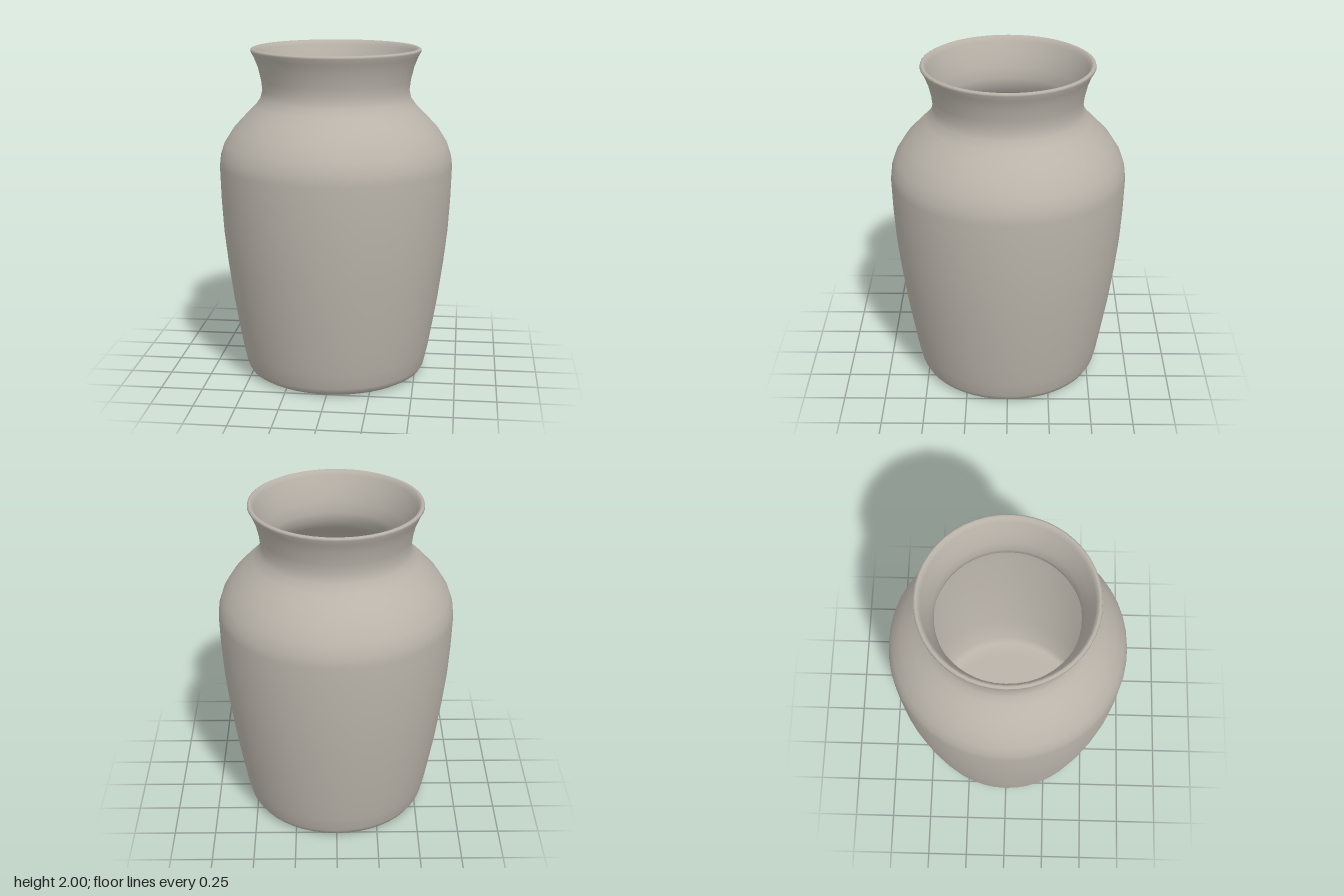
import * as THREE from 'three';

// Smooth surface of revolution from [radius, height] pairs
function turned(name, profile, material) {
  const points = profile.map(([r, y]) => new THREE.Vector2(r, y));
  const mesh = new THREE.Mesh(new THREE.LatheGeometry(points, 48), material);
  mesh.name = name;
  return mesh;
}

export function createModel() {
  const clay = new THREE.MeshStandardMaterial({ color: 0xbab4aa });
  clay.name = 'warm grey clay';

  const vase = new THREE.Group();
  vase.name = 'vase';

  // One closed profile: recessed foot, outer wall, rolled rim, inner wall, floor
  vase.add(turned('vaseBody', [
    [0, 0.035], [0.29, 0.035], [0.33, 0.025], [0.4, 0.007], [0.46, 0.001],
    [0.505, 0.004], [0.535, 0.022], [0.553, 0.055],
    [0.575, 0.15], [0.6, 0.29], [0.632, 0.48], [0.662, 0.7], [0.684, 0.9],
    [0.696, 1.1], [0.702, 1.3],
    [0.695, 1.36], [0.672, 1.43], [0.615, 1.52], [0.545, 1.595],
    [0.485, 1.655], [0.452, 1.7], [0.44, 1.75], [0.447, 1.81],
    [0.466, 1.89], [0.49, 1.95], [0.508, 1.982], [0.506, 1.994],
    [0.495, 2], [0.482, 1.993], [0.472, 1.97], [0.445, 1.9],
    [0.42, 1.82], [0.41, 1.75], [0.42, 1.69], [0.46, 1.63],
    [0.525, 1.565], [0.59, 1.495], [0.642, 1.415], [0.667, 1.3],
    [0.66, 1.1], [0.628, 0.7], [0.568, 0.29], [0.525, 0.1],
    [0.49, 0.07], [0.4, 0.065], [0, 0.065],
  ], clay));

  return vase;
}
